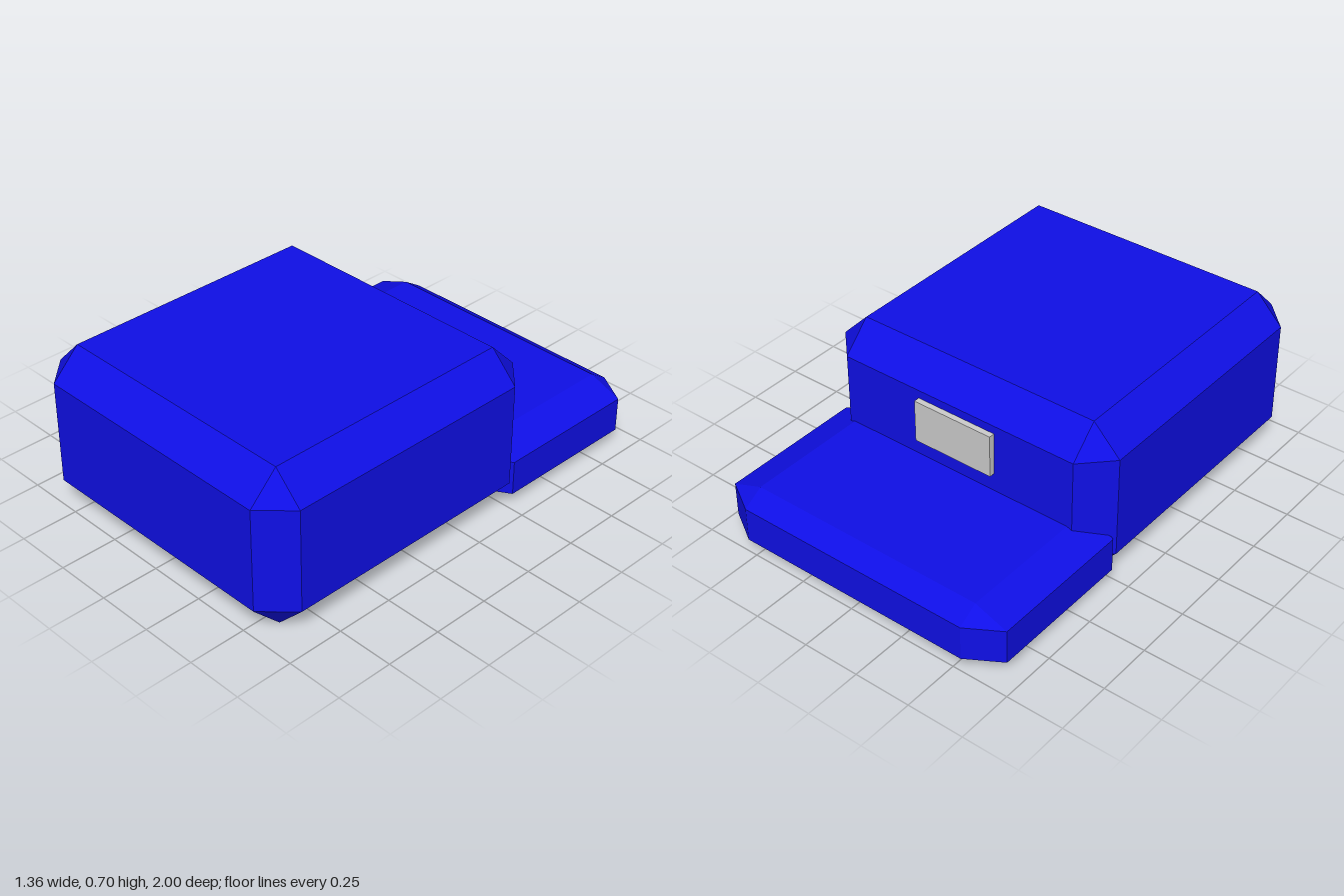
import * as THREE from 'three';
import { ConvexGeometry } from 'three/addons/geometries/ConvexGeometry.js';

// Box with flat chamfers on every edge and triangular corners.
// min / max are the outer corners, bevel is the cut along each axis.
function chamferedBox(min, max, bevel) {
  const centre = min.map((v, i) => (v + max[i]) / 2);
  const half = min.map((v, i) => (max[i] - v) / 2);
  const points = [];
  for (const sx of [-1, 1]) for (const sy of [-1, 1]) for (const sz of [-1, 1]) {
    for (let full = 0; full < 3; full++) {
      const p = [sx, sy, sz].map((s, i) => centre[i] + s * (half[i] - (i === full ? 0 : bevel[i])));
      points.push(new THREE.Vector3(...p));
    }
  }
  return new ConvexGeometry(points);
}

export function createModel() {
  const group = new THREE.Group();
  const blue = new THREE.MeshStandardMaterial({ color: 0x0f0fe6, flatShading: true });
  const grey = new THREE.MeshStandardMaterial({ color: 0xcccccc, flatShading: true });

  const add = (name, geometry, material) => {
    const mesh = new THREE.Mesh(geometry, material);
    mesh.name = name;
    group.add(mesh);
    return mesh;
  };

  // Tall main block
  add('mainBody', chamferedBox([-0.682, 0, -0.367], [0.682, 0.7, 1], [0.122, 0.124, 0.124]), blue);

  // Low slab behind, its front end sunk into the main block
  add('rearSlab', chamferedBox([-0.682, 0.005, -1], [0.682, 0.267, -0.178], [0.145, 0.055, 0.088]), blue);

  // Thin plate on the back wall
  add('rearPlate', new THREE.BoxGeometry(0.374, 0.19, 0.04), grey).position.set(0, 0.445, -0.373);

  return group;
}
